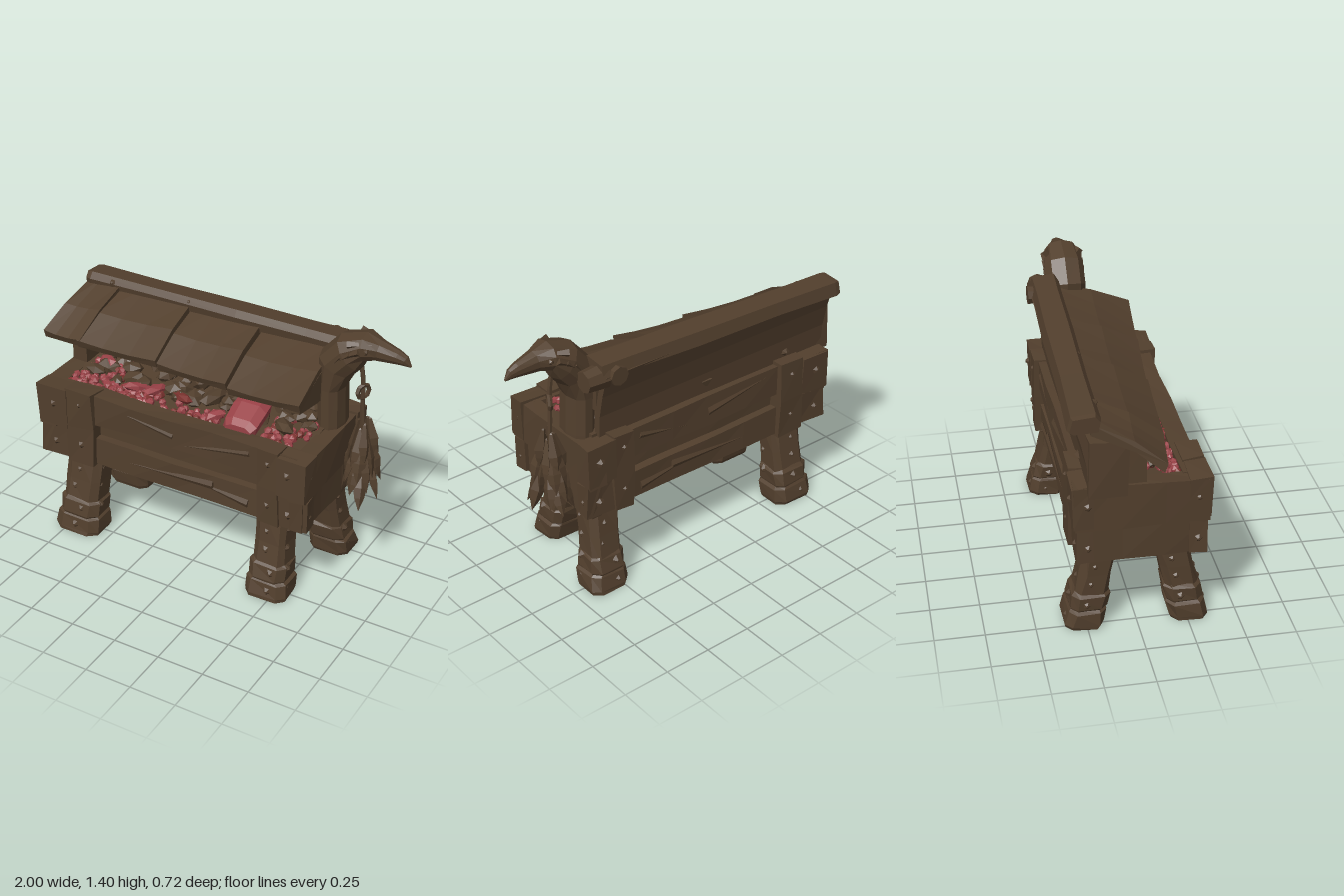
import * as THREE from 'three';

const wood = new THREE.MeshStandardMaterial({ name: 'dark wood', color: 0x523f2d });
const red = new THREE.MeshStandardMaterial({ name: 'raw red', color: 0x984146 });
const deepRed = new THREE.MeshStandardMaterial({ name: 'deep red', color: 0x7c332f });

// Repeatable noise
let seed = 7;
const rnd = (a = 0, b = 1) => {
  seed = (seed * 16807) % 2147483647;
  return a + (b - a) * (seed / 2147483647);
};
const hash = (x, y, z) => {
  const s = Math.sin(x * 127.1 + y * 311.7 + z * 74.7) * 43758.5453;
  return (s - Math.floor(s)) * 2 - 1;
};

export function createModel() {
  const model = new THREE.Group();
  model.name = 'feedingTrough';

  // Faceted mesh from any geometry
  const add = (name, geo, mat = wood) => {
    const g = geo.index ? geo.toNonIndexed() : geo;
    g.computeVertexNormals();
    const m = new THREE.Mesh(g, mat);
    m.name = name;
    model.add(m);
    return m;
  };

  // Rough-hewn box between two corners
  const block = (name, x0, x1, y0, y1, z0, z1, rough = 0.007) => {
    const seg = (l) => Math.max(1, Math.min(6, Math.round(l / 0.22)));
    const g = new THREE.BoxGeometry(x1 - x0, y1 - y0, z1 - z0, seg(x1 - x0), seg(y1 - y0), seg(z1 - z0));
    g.translate((x0 + x1) / 2, (y0 + y1) / 2, (z0 + z1) / 2);
    const p = g.attributes.position;
    for (let i = 0; i < p.count; i++) {
      const [x, y, z] = [p.getX(i), p.getY(i), p.getZ(i)].map((v) => Math.round(v * 1000) / 1000);
      p.setXYZ(i, x + rough * hash(x, y, z), y + rough * hash(y, z, x), z + rough * hash(z, x, y));
    }
    return add(name, g);
  };

  // Closed solid through a list of rings, turned outward by its signed volume
  const loft = (name, rings, mat = wood) => {
    const n = rings[0].length, pos = rings.flat(2), idx = [];
    for (let r = 0; r < rings.length - 1; r++)
      for (let i = 0; i < n; i++) {
        const a = r * n + i, b = r * n + (i + 1) % n;
        idx.push(a, b, b + n, a, b + n, a + n);
      }
    const e = (rings.length - 1) * n;
    for (let i = 1; i < n - 1; i++) idx.push(0, i + 1, i, e, e + i, e + i + 1);
    const v = (k) => new THREE.Vector3().fromArray(pos, idx[k] * 3);
    let vol = 0;
    for (let k = 0; k < idx.length; k += 3) vol += v(k).dot(v(k + 1).cross(v(k + 2)));
    const g = new THREE.BufferGeometry();
    g.setAttribute('position', new THREE.Float32BufferAttribute(pos, 3));
    g.setIndex(vol < 0 ? idx.reverse() : idx);
    return add(name, g, mat);
  };

  // Faceted stud facing along an axis
  const up = new THREE.Vector3(0, 1, 0);
  const stud = (x, y, z, dir, r = 0.028) => {
    const m = add('stud', new THREE.CylinderGeometry(r * 0.25, r, r * 0.7, 5));
    m.position.set(x, y, z);
    m.quaternion.setFromUnitVectors(up, new THREE.Vector3(...dir).normalize());
  };

  // Trough floor, ends and long sides
  block('floor', -0.8, 0.62, 0.46, 0.5, -0.27, 0.28, 0.003);
  for (const [x0, x1, s] of [[-0.88, -0.78, -1], [0.585, 0.675, 1]]) {
    block('lowerEndPlank', x0 + 0.01, x1 - 0.01, 0.45, 0.635, -0.305, 0.315);
    block('upperEndPlank', x0, x1, 0.63, 0.855, -0.325, 0.325);
    for (const z of [-0.26, 0.27]) for (const y of [0.53, 0.76])
      stud(s < 0 ? x0 - 0.002 : x1 + 0.002, y, z, [s, 0, 0]);
  }
  for (const s of [-1, 1]) {
    const slab = (name, x0, x1, y0, y1, a, b, r) =>
      block(name, x0, x1, y0, y1, Math.min(a * s, b * s), Math.max(a * s, b * s), r);
    slab('lowerRail', -0.8, 0.62, 0.455, 0.61, 0.2, 0.295);
    slab('recessedPlank', -0.8, 0.62, 0.6, 0.73, 0.2, 0.25, 0.003);
    slab('upperRail', -0.8, 0.62, 0.7, 0.86, 0.2, 0.3);
    for (const [x0, x1, sx0, sx1] of [[-0.88, -0.7, -0.71, -0.55], [0.52, 0.685, 0.41, 0.53]]) {
      slab('lowerCornerCap', x0, x1, 0.455, 0.635, 0.23, 0.312);
      slab('upperCornerCap', x0, x1, 0.645, 0.865, 0.23, 0.33);
      slab('strap', sx0, sx1, 0.445, 0.875, 0.22, 0.325);
      for (const y of [0.53, 0.77]) {
        stud((x0 + x1) / 2 + 0.03 * hash(y, x0, s), y, s * (y < 0.6 ? 0.314 : 0.334), [0, 0, s], 0.03);
        stud((sx0 + sx1) / 2, y + 0.03, s * 0.328, [0, 0, s], 0.022);
      }
    }
    // Split-off slivers on the rails
    for (const [x, y, l, a] of [[-0.28, 0.8, 0.4, -0.14], [0.15, 0.77, 0.42, 0.2], [-0.1, 0.54, 0.5, 0.06], [0.2, 0.53, 0.3, -0.12]]) {
      const g = new THREE.ConeGeometry(0.025, l, 4);
      g.scale(1, 1, 0.5);
      const m = add('splinter', g);
      m.rotation.z = Math.PI / 2 + a;
      m.position.set(x, y, s * 0.297);
    }
  }

  // Splayed legs with stepped wrapped feet: [foot x, top x, side, width factor]
  for (const [x, xt, s, k] of [[-0.685, -0.665, 1, 1.1], [-0.68, -0.68, -1, 1.05], [0.47, 0.455, 1, 0.95], [0.572, 0.53, -1, 0.95]]) {
    const ring = (y, r, rz = r) => Array.from({ length: 8 }, (_, i) => {
      const a = (i + 0.5) * Math.PI / 4, t = y / 0.5;
      const c = Math.cos(a), d = Math.sin(a), sq = 1.1;
      return [x + (xt - x) * t + Math.sign(c) * Math.abs(c) ** 0.5 * r * sq * k + 0.006 * hash(i, y, x), y,
        s * (0.262 - 0.1 * t) + Math.sign(d) * Math.abs(d) ** 0.5 * rz * sq + 0.006 * hash(y, x, i)];
    });
    loft('leg', [ring(0.15, 0.09, 0.078), ring(0.3, 0.088, 0.076), ring(0.5, 0.09, 0.08)]);
    loft('footWrap', [ring(0.09, 0.088, 0.08), ring(0.11, 0.102, 0.088), ring(0.18, 0.1, 0.086), ring(0.2, 0.082, 0.075)]);
    loft('foot', [ring(0, 0.108, 0.088), ring(0.02, 0.112, 0.092), ring(0.09, 0.108, 0.09), ring(0.105, 0.09, 0.08)]);
    for (const y of [0.05, 0.15, 0.26, 0.36]) {
      const z = s * (0.262 - 0.2 * y), w = y < 0.2 ? 0.108 : 0.092, cx = x + (xt - x) * y * 2;
      stud(cx + 0.04 * hash(y, x, s), y, z + s * (w - 0.012), [0, 0, s], 0.028);
      stud(cx + w * k, y + 0.02, z + 0.03, [1, 0, 0], 0.028);
      stud(cx - w * k, y - 0.01, z - 0.02, [-1, 0, 0], 0.028);
    }
  }

  // Overlapping roof boards: [front left x, front right x, back left x, back right x, z left, z right, y left, y right]
  const boards = [
    [-1.0, -0.75, -0.91, -0.7, 0.09, 0.12, 1.03, 1.05],
    [-0.77, -0.275, -0.72, -0.275, 0.12, 0.145, 1.045, 1.075],
    [-0.27, 0.15, -0.27, 0.14, 0.14, 0.18, 1.06, 1.085],
    [0.16, 0.575, 0.15, 0.56, 0.18, 0.215, 1.065, 1.105],
  ];
  for (const [fl, fr, bl, br, zl, zr, yl, yr] of boards) {
    const ring = (t) => {
      const mix = THREE.MathUtils.lerp, f = mix(fl, fr, t), b = mix(bl, br, t);
      const zf = mix(zl, zr, t), y = mix(yl, yr, t), yb = 1.22 + 0.03 * t;
      const warp = -0.01 * Math.sin(Math.PI * t);
      return [[f, y + warp, zf], [(f + b) / 2, (y + yb) / 2 + 0.012 + warp, zf * 0.5 - 0.1], [b, yb, -0.25],
        [b, yb - 0.06, -0.25], [(f + b) / 2, (y + yb) / 2 - 0.04, zf * 0.5 - 0.1], [f, y - 0.045, zf - 0.015]];
    };
    loft('roofBoard', [0, 0.33, 0.67, 1].map(ring));
  }

  // Ridge beam with end knob and studs
  const ridge = (x, t, k = 1) => [[-0.078, -0.035], [-0.06, 0.033], [0.055, 0.043], [0.08, 0.01], [0.07, -0.045], [-0.055, -0.05]]
    .map(([z, y]) => [x, 1.222 + 0.025 * t + y * k, -0.278 + 0.035 * t + z * k]);
  loft('ridgeBeam', [ridge(-0.92, 0, 0.9), ridge(-0.89, 0), ridge(-0.5, 0.3, 0.93), ridge(0, 0.6), ridge(0.4, 0.9, 0.95), ridge(0.58, 1)]);
  for (const x of [-0.75, -0.28, 0.12, 0.45]) stud(x, 1.24 + 0.02 * (x + 0.9), -0.2, [0, 0.6, 1], 0.024);
  const knob = add('ridgeKnob', new THREE.CylinderGeometry(0.055, 0.065, 0.12, 8));
  knob.rotation.z = -Math.PI / 2;
  knob.position.set(0.6, 1.205, -0.265);
  const knobTip = add('ridgeKnobTip', new THREE.CylinderGeometry(0.04, 0.05, 0.1, 8));
  knobTip.rotation.x = Math.PI / 2;
  knobTip.position.set(0.5, 1.215, -0.29);

  // Curved back panel hanging from the ridge
  const backCurve = [[1.22, -0.325], [1.1, -0.29], [0.98, -0.265], [0.84, -0.258]];
  loft('backPanel', backCurve.map(([y, z]) => [[-0.89, y, z], [0.57, y, z], [0.57, y, z + 0.035], [-0.89, y, z + 0.035]]));

  // Gable ends
  block('leftGablePost', -0.93, -0.8, 0.84, 1.13, -0.26, -0.08);
  block('leftGableRafter', -0.86, -0.78, 0.86, 1.07, -0.1, 0.02);
  const gable = [[0.195, 1.045], [0.195, 1.085], [0, 1.16], [-0.24, 1.22], [-0.24, 1.0], [0, 1.01]];
  loft('rightGable', [0.5, 0.57].map((x) => gable.map(([z, y]) => [x, y, z])));

  // Carved bird head on its post: [x, y, angle, half height, half width]
  const bird = [[0.6, 0.5, 90, 0.07, 0.1], [0.6, 0.87, 90, 0.068, 0.1], [0.595, 1.07, 88, 0.065, 0.1], [0.615, 1.2, 62, 0.1, 0.108],
    [0.685, 1.28, 38, 0.1, 0.108], [0.765, 1.33, 5, 0.07, 0.09], [0.83, 1.32, -10, 0.054, 0.05],
    [0.92, 1.308, -18, 0.038, 0.032], [0.96, 1.298, -28, 0.028, 0.022], [0.995, 1.274, -35, 0.004, 0.004]];
  loft('birdHead', bird.map(([x, y, deg, h, w]) => Array.from({ length: 10 }, (_, i) => {
    const a = i * Math.PI / 5, d = deg * Math.PI / 180, u = Math.cos(a) * h;
    const side = Math.sign(Math.sin(a)) * Math.abs(Math.sin(a)) ** 0.75;
    return [x - Math.sin(d) * u, y + Math.cos(d) * u, -0.12 + side * w];
  })));
  for (const s of [-1, 1]) {
    const brow = add('brow', new THREE.ConeGeometry(0.02, 0.15, 4));
    brow.position.set(0.765, 1.36, -0.12 + s * 0.062);
    brow.rotation.set(0, s * 0.4, -1.5);
    const eye = add('eye', new THREE.IcosahedronGeometry(0.016));
    eye.position.set(0.785, 1.33, -0.12 + s * 0.072);
    for (let i = 0; i < 3; i++) {
      const tuft = add('carvedFeather', new THREE.ConeGeometry(0.018, 0.16, 4));
      tuft.position.set(0.62 + 0.035 * i, 1.22 + 0.035 * i, -0.12 + s * 0.093);
      tuft.rotation.z = 2.5 - 0.2 * i;
    }
  }

  // Hanging cord, ring and feather tassel
  const cord = new THREE.CatmullRomCurve3([[0.73, 1.25], [0.75, 1.15], [0.755, 1.0], [0.765, 0.8]].map(([x, y]) => new THREE.Vector3(x, y, -0.12)));
  add('cord', new THREE.TubeGeometry(cord, 8, 0.012, 5));
  const loop = add('cordRing', new THREE.TorusGeometry(0.036, 0.012, 5, 8));
  loop.position.set(0.755, 1.07, -0.12);
  loop.rotation.y = 1.1;
  for (let i = 0; i < 26; i++) {
    const a = i * 2.4, tier = i / 25, len = 0.21 + 0.06 * rnd();
    const dir = new THREE.Vector3(0.34 * Math.cos(a) * (0.5 + tier * 0.5), -1, 0.52 * Math.sin(a) * (0.4 + tier * 0.6));
    const g = new THREE.LatheGeometry([[0, 0], [0.012, 0.01], [0.036, 0.55 * len], [0.026, 0.75 * len], [0, len]].map((p) => new THREE.Vector2(...p)), 4);
    g.scale(1, 1, 0.6);
    const f = add('feather', g);
    f.position.set(0.77 + 0.025 * Math.cos(a), 0.94 - 0.25 * tier, -0.12 + 0.03 * Math.sin(a));
    f.quaternion.setFromUnitVectors(up, dir.normalize());
  }

  // Fill: bed, pebbles, stones and a slab of meat
  const bed = [[0.21, 0.76], [0.21, 0.825], [0, 0.86], [-0.24, 0.88], [-0.24, 0.76]];
  loft('fillBed', [-0.79, -0.3, 0.2, 0.6].map((x) => bed.map(([z, y]) => [x, y, z])));
  const lump = (name, x, y, z, sx, sy, sz, mat) => {
    const m = add(name, new THREE.IcosahedronGeometry(1), mat);
    m.scale.set(sx, sy, sz);
    m.position.set(x, y, z);
    m.rotation.set(rnd(-0.5, 0.5), rnd(0, 6), rnd(-0.5, 0.5));
  };
  // Pebble drifts: [count, x range, z range]
  for (const [count, x0, x1, z0, z1] of [[85, -0.77, -0.27, 0.1, 0.195], [22, -0.25, 0.1, 0.11, 0.195], [36, 0.36, 0.57, 0.0, 0.19], [26, -0.74, -0.5, -0.15, 0.08]])
    for (let i = 0; i < count; i++) {
      const r = rnd(0.017, 0.027), z = rnd(z0, z1);
      lump('redPebble', rnd(x0, x1), 0.838 + 0.18 * (0.2 - z), z, r, r, r, i % 4 ? red : deepRed);
    }
  for (let i = 0; i < 58; i++) {
    const x = rnd(-0.72, 0.54), z = rnd(-0.21, x > 0.3 ? 0.02 : 0.11), r = rnd(0.03, 0.058);
    lump('stone', x, 0.85 + 0.15 * (0.19 - z), z, r * 1.4, r * 0.8, r, wood);
  }
  for (const [x, z, l, mat] of [[-0.4, 0.12, 0.09, red], [-0.3, 0.1, 0.08, red], [-0.66, 0.0, 0.07, red], [-0.14, 0.1, 0.08, deepRed], [0.08, 0.15, 0.06, red]])
    lump('redScrap', x, 0.86 + 0.2 * (0.2 - z), z, l, 0.026, 0.035, mat);
  lump('log', 0.02, 0.91, 0.06, 0.1, 0.04, 0.045, wood);
  lump('log', 0.43, 0.875, 0.08, 0.09, 0.035, 0.05, wood);
  const meat = (z, y, k) => [[-0.1, -0.04], [-0.085, 0.015], [-0.04, 0.035], [0.06, 0.035], [0.1, 0.005], [0.09, -0.045]]
    .map(([x, h]) => [0.235 + x * k, y + h * k, z]);
  loft('meat', [meat(0.21, 0.86, 0.75), meat(0.18, 0.88, 0.95), meat(0.09, 0.92, 1), meat(0.02, 0.935, 0.95), meat(-0.03, 0.93, 0.7)], red);

  return model;
}
